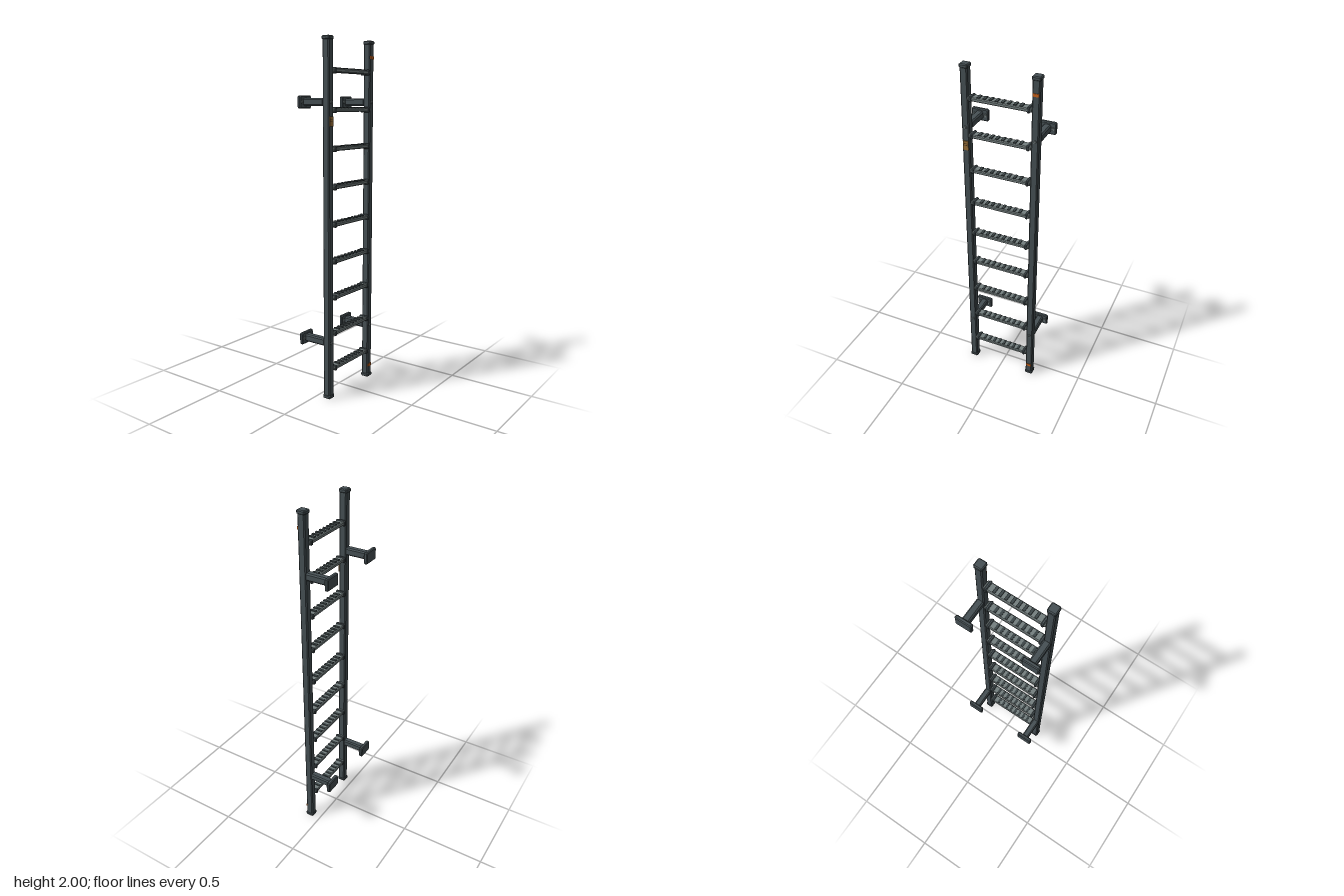
import * as THREE from 'three';

const mat = (name, color, flat = true) => {
  const m = new THREE.MeshStandardMaterial({ color, flatShading: flat });
  m.name = name;
  return m;
};

// Box with chamfered edges; the long axis may be x, y or z
function chamferBox(w, h, d, c, axis = 'z') {
  const [a, b, len] = axis === 'x' ? [d, h, w] : axis === 'y' ? [w, d, h] : [w, h, d];
  const x = a / 2 - c, y = b / 2 - c, k = c * 0.6;
  const s = new THREE.Shape([
    [x - k, -y], [x, -y + k], [x, y - k], [x - k, y],
    [-x + k, y], [-x, y - k], [-x, -y + k], [-x + k, -y],
  ].map(p => new THREE.Vector2(...p)));
  const g = new THREE.ExtrudeGeometry(s, {
    depth: len - 2 * c, bevelEnabled: true, bevelThickness: c, bevelSize: c, bevelSegments: 1,
  });
  g.translate(0, 0, -len / 2 + c);
  if (axis === 'x') g.rotateY(Math.PI / 2);
  if (axis === 'y') g.rotateX(-Math.PI / 2);
  return g;
}

export function createModel() {
  const model = new THREE.Group();
  model.name = 'wallLadder';
  const steel = mat('darkSteel', 0x465054);
  const rungMetal = mat('rungMetal', 0x758080);
  const rubber = mat('gripRubber', 0x3d4648);
  const boltMetal = mat('boltMetal', 0x6c7778);
  const orange = mat('orangeMark', 0xc8621c);
  const tan = mat('tanPlate', 0x9a7038);
  const tanDark = mat('tanPlateLines', 0x5e4628);

  const add = (parent, name, geo, material, x, y, z) => {
    const m = new THREE.Mesh(geo, material);
    m.name = name;
    m.position.set(x, y, z);
    parent.add(m);
    return m;
  };

  const RX = 0.193, RZ = 0.068;
  const railGeo = chamferBox(0.042, 1.97, 0.043, 0.005, 'y');
  const capGeo = chamferBox(0.049, 0.022, 0.05, 0.005, 'y');
  const armGeo = chamferBox(0.041, 0.042, 0.14, 0.006, 'z');
  const plateGeo = chamferBox(0.098, 0.068, 0.022, 0.005, 'z');
  const washerGeo = new THREE.CylinderGeometry(0.0095, 0.0095, 0.004, 12).rotateX(Math.PI / 2);
  const headGeo = new THREE.CylinderGeometry(0.0065, 0.0065, 0.004, 6).rotateX(Math.PI / 2);

  const addBolt = (parent, x, y, z) => {
    add(parent, 'boltWasher', washerGeo, boltMetal, x, y, z + 0.002);
    add(parent, 'boltHead', headGeo, boltMetal, x, y, z + 0.005);
  };

  // Side rails with end caps and wall brackets
  for (const side of [-1, 1]) {
    const x = side * RX;
    const label = side > 0 ? 'left' : 'right';
    add(model, label + 'Rail', railGeo, steel, x, 1, RZ);
    for (const y of [0.011, 1.989]) add(model, label + 'RailCap', capGeo, steel, x, y, RZ);

    for (const y of [0.33, 1.66]) {
      const bracket = new THREE.Group();
      bracket.name = label + 'WallBracket';
      model.add(bracket);
      add(bracket, 'bracketArm', armGeo, steel, x, y, -0.018);
      add(bracket, 'wallPlate', plateGeo, steel, x, y, -0.091);
      for (const o of [-0.034, 0.034]) addBolt(bracket, x + o, y, -0.08);
      addBolt(bracket, x, y, RZ + 0.0215);
    }
  }

  // Rungs with end collars and ribbed grip strips
  const rungGeo = chamferBox(0.35, 0.021, 0.049, 0.004, 'x');
  const collarGeo = chamferBox(0.016, 0.031, 0.057, 0.004, 'x');
  const gripGeo = new THREE.BoxGeometry(0.014, 0.007, 0.038);
  for (let i = 0; i < 9; i++) {
    const rung = new THREE.Group();
    rung.name = 'rung';
    rung.position.set(0, 0.172 + i * 0.2065, 0.0705);
    model.add(rung);
    add(rung, 'rungBar', rungGeo, rungMetal, 0, 0, 0);
    for (const s of [-1, 1]) add(rung, 'rungCollar', collarGeo, steel, s * 0.157, 0, -0.001);
    for (let k = 0; k < 8; k++) {
      add(rung, 'gripStrip', gripGeo, rubber, (k - 3.5) * 0.033, 0.012, 0.001);
    }
  }

  // Orange marks on the left rail
  const markGeo = new THREE.BoxGeometry(0.033, 0.016, 0.005);
  for (const y of [0.075, 1.907]) add(model, 'orangeMark', markGeo, orange, RX, y, RZ + 0.0225);

  // Small plate with plain lines on the right rail
  add(model, 'infoPlate', new THREE.BoxGeometry(0.031, 0.052, 0.006), tan, -RX, 1.558, RZ + 0.0235);
  const lineGeo = new THREE.BoxGeometry(0.022, 0.003, 0.001);
  for (const o of [0.012, 0.002]) {
    add(model, 'infoPlateLine', lineGeo, tanDark, -RX, 1.558 + o, RZ + 0.0268);
  }
  return model;
}
